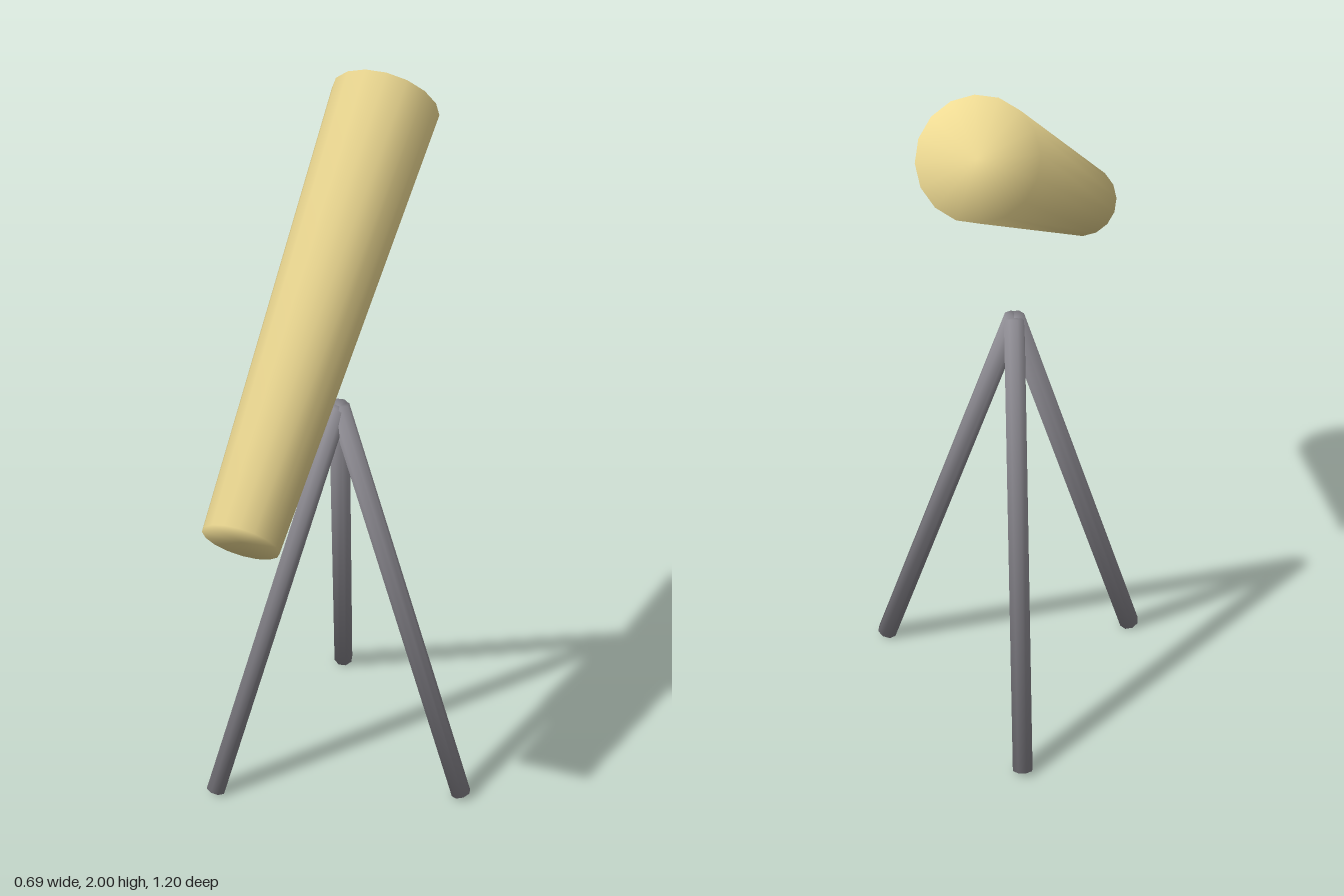
import * as THREE from 'three';

const UP = new THREE.Vector3(0, 1, 0);

// Closed, tapered rod between two points, shaded softly around its end rims
function rod(name, from, to, rFrom, rTo, sides, material) {
  const a = new THREE.Vector3(...from), b = new THREE.Vector3(...to);
  const axis = b.clone().sub(a), length = axis.length();
  const geo = new THREE.CylinderGeometry(rTo, rFrom, length, sides, 1);
  const pos = geo.attributes.position, n = new THREE.Vector3();
  for (let i = 0; i < pos.count; i++) {
    n.set(pos.getX(i), 0, pos.getZ(i)).normalize();
    n.y = Math.sign(pos.getY(i)) * 0.8;
    n.normalize();
    geo.attributes.normal.setXYZ(i, n.x, n.y, n.z);
  }
  const mesh = new THREE.Mesh(geo, material);
  mesh.name = name;
  mesh.position.copy(a).add(b).multiplyScalar(0.5);
  mesh.quaternion.setFromUnitVectors(UP, axis.normalize());
  return mesh;
}

export function createModel() {
  const group = new THREE.Group();
  group.name = 'telescope';
  const brass = new THREE.MeshStandardMaterial({ color: 0xf0dc94 });
  const steel = new THREE.MeshStandardMaterial({ color: 0x8c8a91 });

  // Tapered viewing tube, narrow at the eyepiece, wide at the raised end
  group.add(rod('telescopeTube', [0.02, 1.184, 0.543], [-0.2, 1.876, -0.516], 0.1, 0.147, 16, brass));

  // Three tripod legs spreading evenly from one apex
  const tripod = new THREE.Group();
  tripod.name = 'tripod';
  const apex = [-0.09, 1.188, -0.1], spread = 0.405;
  for (let i = 0; i < 3; i++) {
    const t = (i * Math.PI * 2) / 3;
    const foot = [apex[0] + spread * Math.cos(t), 0.009, apex[2] + spread * Math.sin(t)];
    tripod.add(rod('tripodLeg' + (i + 1), foot, apex, 0.028, 0.028, 8, steel));
  }
  group.add(tripod);
  return group;
}
